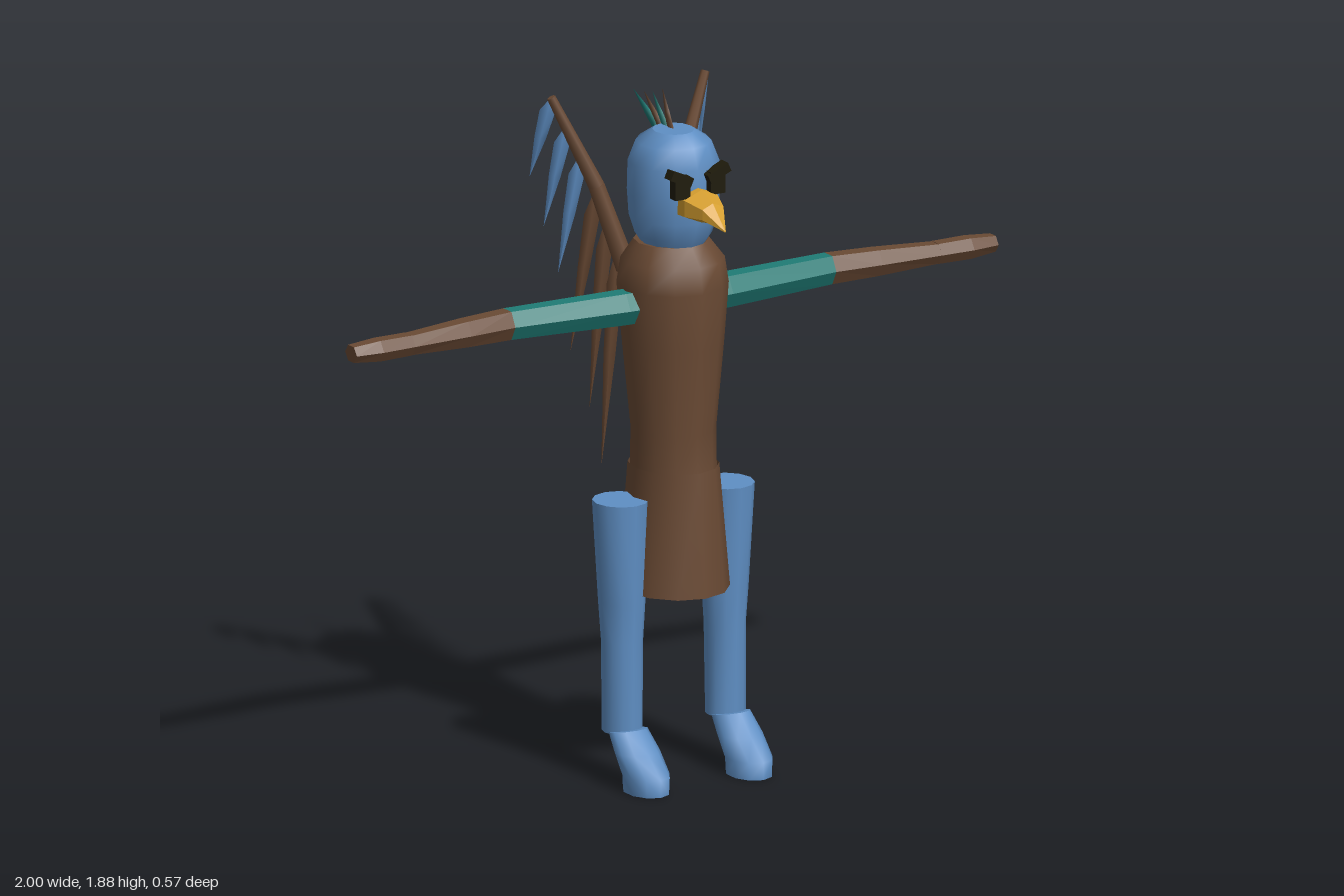
import * as THREE from 'three';

const mat = (name, color) => Object.assign(
  new THREE.MeshStandardMaterial({ color, side: THREE.DoubleSide }), { name });
const blue = mat('blue plumage', 0x5f8fc4);
const brown = mat('brown cloth', 0x6a4a34);
const teal = mat('teal', 0x1f7c76);
const gold = mat('beak gold', 0xd69f30);
const dark = mat('near black', 0x1f1b0b);
[blue, brown, teal, gold, dark].forEach(m => { m.flatShading = false; });

const V = (x, y, z) => new THREE.Vector3(x, y, z);
const AXES = {
  x: [V(0, 1, 0), V(0, 0, 1)],
  y: [V(0, 0, 1), V(1, 0, 0)],
  z: [V(1, 0, 0), V(0, 1, 0)],
};

// Skin over elliptical rings [x, y, z, radiusU, radiusV, tilt] running along +axis.
// darkSides lists the sides that get the second material.
function loft(axis, sides, rings, { flat = false, phase = 0, caps = [true, true], darkSides = [] } = {}) {
  const [u, v] = AXES[axis];
  const pos = [], main = [], second = [];
  const add = p => pos.push(p.x, p.y, p.z) / 3 - 1;
  const point = ([x, y, z, ru, rv, tilt = 0], j) => {
    const a = phase + (j % sides) / sides * Math.PI * 2;
    const p = V(x, y, z).addScaledVector(u, ru * Math.cos(a)).addScaledVector(v, rv * Math.sin(a));
    p.y += tilt * Math.cos(a);
    return p;
  };
  rings.forEach(r => { for (let j = 0; j < sides; j++) add(point(r, j)); });
  for (let i = 0; i < rings.length - 1; i++) {
    for (let j = 0; j < sides; j++) {
      const k = (j + 1) % sides, a = i * sides, b = a + sides;
      (darkSides.includes(j) ? second : main).push(a + j, a + k, b + k, a + j, b + k, b + j);
    }
  }
  [rings[0], rings[rings.length - 1]].forEach((r, end) => {
    if (!caps[end]) return;
    const c = add(V(r[0], r[1], r[2])), s = c + 1;
    for (let j = 0; j < sides; j++) add(point(r, j));
    for (let j = 0; j < sides; j++) {
      const k = (j + 1) % sides;
      main.push(c, s + (end ? j : k), s + (end ? k : j));
    }
  });
  let g = new THREE.BufferGeometry();
  g.setAttribute('position', new THREE.Float32BufferAttribute(pos, 3));
  g.setIndex([...main, ...second]);
  if (flat) g = g.toNonIndexed();
  g.computeVertexNormals();
  if (second.length) {
    g.addGroup(0, main.length, 0);
    g.addGroup(main.length, second.length, 1);
  }
  return g;
}

function mesh(parent, name, geometry, material) {
  const m = new THREE.Mesh(geometry, material);
  m.name = name;
  parent.add(m);
  return m;
}

// Tapered rod between two points
function rod(parent, name, a, b, ra, rb, material) {
  const m = mesh(parent, name, new THREE.CylinderGeometry(rb, ra, a.distanceTo(b), 6), material);
  m.position.copy(a).lerp(b, 0.5);
  m.quaternion.setFromUnitVectors(V(0, 1, 0), b.clone().sub(a).normalize());
}

// Thin pointed blade from base to tip; "across" is its broad direction
function blade(parent, name, base, tip, width, thickness, across, material) {
  const len = base.distanceTo(tip);
  const g = new THREE.LatheGeometry(
    [[0, 0], [0.5, 0.18], [0.38, 0.5], [0, 1]].map(p => new THREE.Vector2(...p)), 4);
  const m = mesh(parent, name, g, material);
  const y = tip.clone().sub(base).normalize();
  const z = across.clone().cross(y).normalize();
  const x = y.clone().cross(z);
  m.position.copy(base);
  m.quaternion.setFromRotationMatrix(new THREE.Matrix4().makeBasis(x, y, z));
  m.scale.set(width, len, thickness);
}

function buildSide() {
  const side = new THREE.Group();

  // Arm: sleeve, forearm, hand with dark back
  const hex = { flat: true, phase: Math.PI / 6 };
  mesh(side, 'sleeve', loft('x', 6, [
    [0.1, 1.312, 0.022, 0.05, 0.048], [0.16, 1.312, 0.02, 0.05, 0.047],
    [0.5, 1.312, -0.006, 0.045, 0.041]], hex), teal);
  mesh(side, 'forearm', loft('x', 6, [
    [0.5, 1.312, -0.006, 0.045, 0.041], [0.64, 1.312, 0.003, 0.041, 0.041],
    [0.82, 1.312, 0.015, 0.031, 0.035]], hex), brown);
  mesh(side, 'hand', loft('x', 6, [
    [0.82, 1.312, 0.015, 0.032, 0.035], [0.92, 1.312, 0.017, 0.033, 0.036],
    [1.0, 1.312, 0.015, 0.025, 0.03]], { ...hex, darkSides: [3, 4] }), [brown, dark]);

  // Leg and forward-reaching foot
  mesh(side, 'leg', loft('y', 12, [
    [0.161, 0.14, 0.024, 0.055, 0.054], [0.16, 0.39, 0.022, 0.06, 0.055],
    [0.161, 0.5, 0.022, 0.067, 0.062], [0.165, 0.78, 0.022, 0.079, 0.075]]), blue);
  mesh(side, 'foot', loft('y', 10, [
    [0.16, 0, 0.145, 0.077, 0.058], [0.16, 0.047, 0.145, 0.077, 0.062],
    [0.16, 0.1, 0.1, 0.06, 0.062], [0.16, 0.147, 0.053, 0.048, 0.054, 0.009]]), blue);

  // Eye and slanted brow
  mesh(side, 'eye', new THREE.BoxGeometry(0.046, 0.062, 0.03), dark).position.set(0.055, 1.662, 0.147);
  const brow = mesh(side, 'brow', new THREE.BoxGeometry(0.068, 0.026, 0.034), dark);
  brow.position.set(0.058, 1.688, 0.148);
  brow.rotation.z = 0.42;

  // Wing spine with hanging feathers
  const root = V(0.06, 1.37, -0.12), elbow = V(0.13, 1.6, -0.158), top = V(0.24, 1.85, -0.21);
  rod(side, 'wingRoot', root, elbow, 0.028, 0.022, brown);
  rod(side, 'wingSpine', elbow, top, 0.022, 0.012, brown);
  const feathers = [
    [top, V(0.265, 1.615, -0.28)],
    [top.clone().lerp(elbow, 0.32), V(0.236, 1.48, -0.255)],
    [top.clone().lerp(elbow, 0.64), V(0.202, 1.35, -0.237)],
    [elbow, V(0.165, 1.125, -0.235)],
    [elbow.clone().lerp(root, 0.35), V(0.113, 0.965, -0.222)],
    [elbow.clone().lerp(root, 0.7), V(0.085, 0.8, -0.208)],
  ];
  feathers.forEach(([base, tip], i) =>
    blade(side, 'wingFeather', base, tip, 0.042, 0.016, V(0.85, 0, -0.53), i < 3 ? blue : brown));
  return side;
}

export function createModel() {
  const model = new THREE.Group();
  model.name = 'birdFigure';

  // Torso and flared skirt
  mesh(model, 'torso', loft('y', 12, [
    [0, 0.56, 0.025, 0.145, 0.13], [0, 0.86, 0.022, 0.126, 0.112], [0, 0.96, 0.022, 0.124, 0.111],
    [0, 1.2, 0.02, 0.142, 0.135], [0, 1.36, 0.018, 0.155, 0.148], [0, 1.43, 0.018, 0.143, 0.138],
    [0, 1.48, 0.012, 0.102, 0.102]]), brown);
  mesh(model, 'skirt', loft('y', 12, [
    [0, 0.52, 0.025, 0.162, 0.145], [0, 0.86, 0.022, 0.135, 0.118]], { caps: [false, false] }), brown);

  // Head
  mesh(model, 'head', loft('y', 12, [
    [0, 1.465, 0.022, 0.085, 0.08], [0, 1.5, 0.022, 0.106, 0.103], [0, 1.55, 0.022, 0.124, 0.118],
    [0, 1.62, 0.022, 0.128, 0.123], [0, 1.7, 0.022, 0.126, 0.121], [0, 1.755, 0.022, 0.105, 0.1],
    [0, 1.785, 0.022, 0.06, 0.055]]), blue);

  // Hooked beak
  mesh(model, 'beak', loft('z', 6, [
    [0, 1.607, 0.12, 0.064, 0.048], [0, 1.606, 0.165, 0.06, 0.045],
    [0, 1.601, 0.225, 0.038, 0.028], [0, 1.567, 0.287, 0.003, 0.003]],
    { flat: true, phase: Math.PI / 6 }), gold);

  // Crest spikes
  [[0.015, -0.035, 1.885], [-0.005, -0.085, 1.862], [-0.03, -0.13, 1.853], [-0.05, -0.185, 1.845]]
    .forEach(([zBase, zTip, yTip], i) =>
      blade(model, 'crestFeather', V(0, 1.76, zBase), V(0, yTip, zTip), 0.035, 0.009,
        V(0, 0, 1), i % 2 ? teal : brown));

  // Mirrored limbs, eyes and wings
  const left = buildSide();
  left.name = 'leftSide';
  const right = buildSide();
  right.name = 'rightSide';
  right.scale.x = -1;
  model.add(left, right);
  return model;
}
